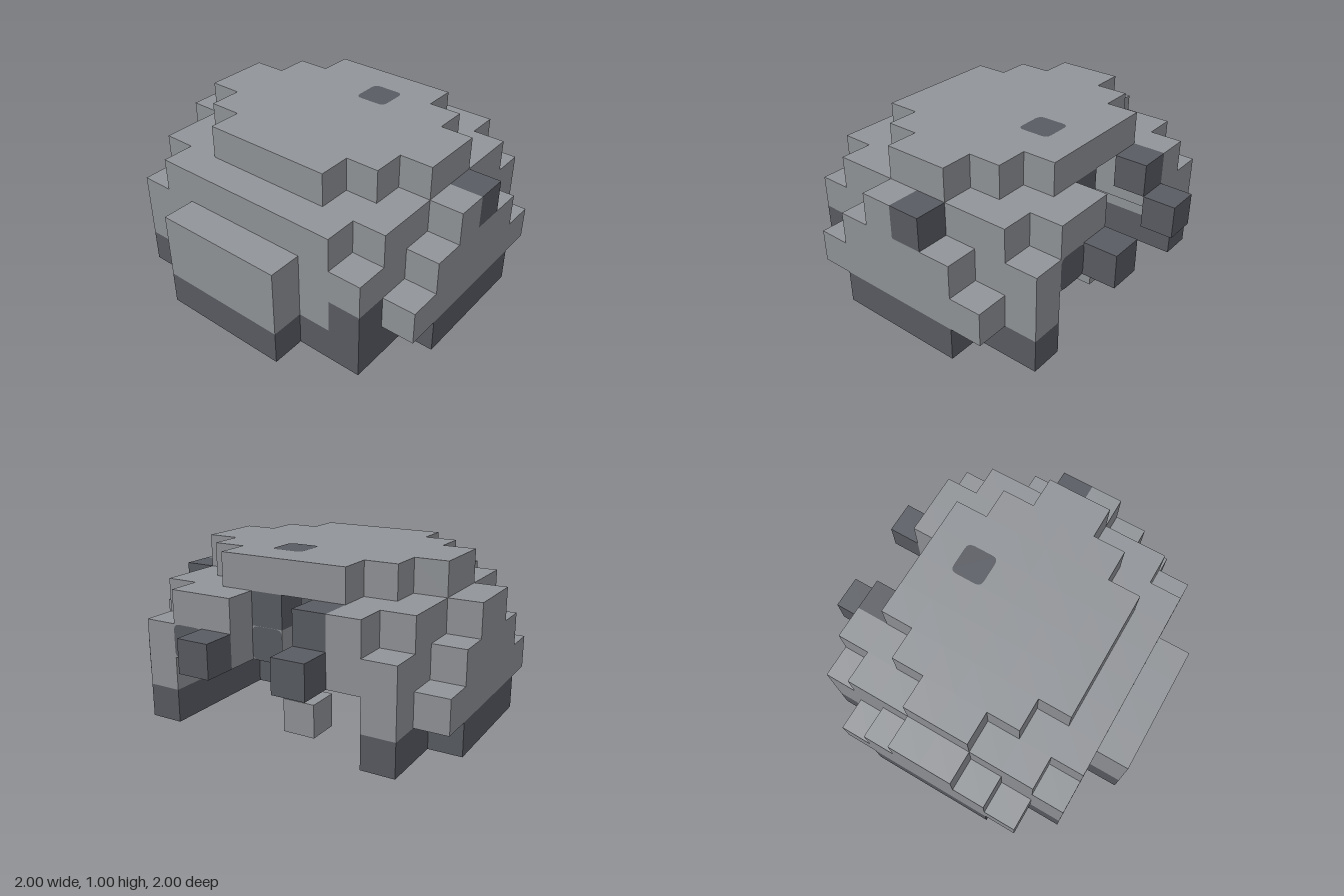
import * as THREE from 'three';

const S = 0.2; // block edge
const lightStone = new THREE.MeshStandardMaterial({ color: 0x919498 });
lightStone.name = 'light stone';
const darkStone = new THREE.MeshStandardMaterial({ color: 0x595c63 });
darkStone.name = 'dark stone';

// For each layer from the ground up: [first, last] block along x for rows 0..4
// counted from the back; the front half mirrors them. Rows 3 and 4 hold the cave.
const layers = [
  [[3, 6], [1, 8], [1, 4], [0, 3], [0, 3]],
  [[2, 7], [1, 8], [1, 4], [0, 3], [0, 3]],
  [[3, 6], [1, 8], [1, 8], [0, 4], [0, 4]],
  [[4, 5], [2, 7], [1, 8], [1, 5], [1, 5]],
  [null, [4, 5], [3, 6], [2, 7], [2, 7]],
];
const layerNames = ['base', 'lowerWall', 'middleWall', 'upperWall', 'roof'];

// Loose blocks, as [x, layer, z]
const extraLight = [[7, 0, 4], [8, 2, 6], [7, 2, 6], [7, 2, 5], [8, 3, 6], [7, 3, 6]];
const extraDark = [
  [1, 1, 2], [1, 1, 8], // side patches
  [9, 2, 6], [9, 2, 3], [8, 3, 3], [5, 3, 9], // protruding blocks
  [4, 2, 4], [4, 2, 5], [5, 3, 4], [5, 3, 5], [7, 3, 5], // cave lining
];

const key = (x, y, z) => `${x},${y},${z}`;

function fillBlocks() {
  const blocks = new Map();
  const put = (x, y, z, dark) => blocks.set(key(x, y, z), { x, y, z, dark });
  layers.forEach((rows, y) => rows.forEach((run, r) => {
    if (!run) return;
    for (const z of [r, 9 - r]) for (let x = run[0]; x <= run[1]; x++) put(x, y, z, y === 0);
  }));
  extraLight.forEach(([x, y, z]) => put(x, y, z, false));
  extraDark.forEach(([x, y, z]) => put(x, y, z, true));
  return blocks;
}

// Join the exposed faces of a set of blocks into one surface
function blockSurface(cells, blocks) {
  const pos = [], nor = [], index = [];
  for (const c of cells) {
    const centre = [c.x, c.y, c.z];
    for (let axis = 0; axis < 3; axis++) for (const sign of [-1, 1]) {
      const n = [0, 0, 0];
      n[axis] = sign;
      if (blocks.has(key(c.x + n[0], c.y + n[1], c.z + n[2]))) continue;
      const u = (axis + 1) % 3, v = (axis + 2) % 3, base = pos.length / 3;
      for (const [du, dv] of [[0, 0], [1, 0], [1, 1], [0, 1]]) {
        const p = [...centre];
        p[axis] += sign > 0 ? 1 : 0;
        p[u] += du;
        p[v] += dv;
        pos.push((p[0] - 5) * S, p[1] * S, (p[2] - 5) * S);
        nor.push(...n);
      }
      const order = sign > 0 ? [0, 1, 2, 0, 2, 3] : [0, 2, 1, 0, 3, 2];
      index.push(...order.map((o) => base + o));
    }
  }
  const g = new THREE.BufferGeometry();
  g.setAttribute('position', new THREE.Float32BufferAttribute(pos, 3));
  g.setAttribute('normal', new THREE.Float32BufferAttribute(nor, 3));
  g.setIndex(index);
  return g;
}

// Square patch with softened corners, facing +z
function patchGeometry() {
  const h = S / 2, r = 0.04, s = new THREE.Shape();
  s.moveTo(-h + r, -h);
  s.lineTo(h - r, -h);
  s.quadraticCurveTo(h, -h, h, -h + r);
  s.lineTo(h, h - r);
  s.quadraticCurveTo(h, h, h - r, h);
  s.lineTo(-h + r, h);
  s.quadraticCurveTo(-h, h, -h, h - r);
  s.lineTo(-h, -h + r);
  s.quadraticCurveTo(-h, -h, -h + r, -h);
  return new THREE.ShapeGeometry(s, 4);
}

export function createModel() {
  const model = new THREE.Group();
  model.name = 'hollowBoulder';
  const blocks = fillBlocks();
  const add = (name, geometry, material) => {
    const mesh = new THREE.Mesh(geometry, material);
    mesh.name = name;
    model.add(mesh);
    return mesh;
  };

  // Stone layers, split by colour
  layerNames.forEach((name, y) => {
    for (const dark of [false, true]) {
      const cells = [...blocks.values()].filter((c) => c.y === y && c.dark === dark);
      if (!cells.length) continue;
      add(name + (dark ? 'DarkBlocks' : 'LightBlocks'), blockSurface(cells, blocks),
        dark ? darkStone : lightStone);
    }
  });

  // Dark patches on the roof and beside the cave mouth
  const roofPatch = add('roofPatch', patchGeometry(), darkStone);
  roofPatch.rotation.x = -Math.PI / 2;
  roofPatch.position.set(0.3, 1.003, 0.1);
  for (const [name, x, z] of [['mouthPatch', 0.803, 0.5], ['innerPatch', 0.603, 0.1]]) {
    const patch = add(name, patchGeometry(), darkStone);
    patch.rotation.y = Math.PI / 2;
    patch.position.set(x, 0.5, z);
  }
  return model;
}
